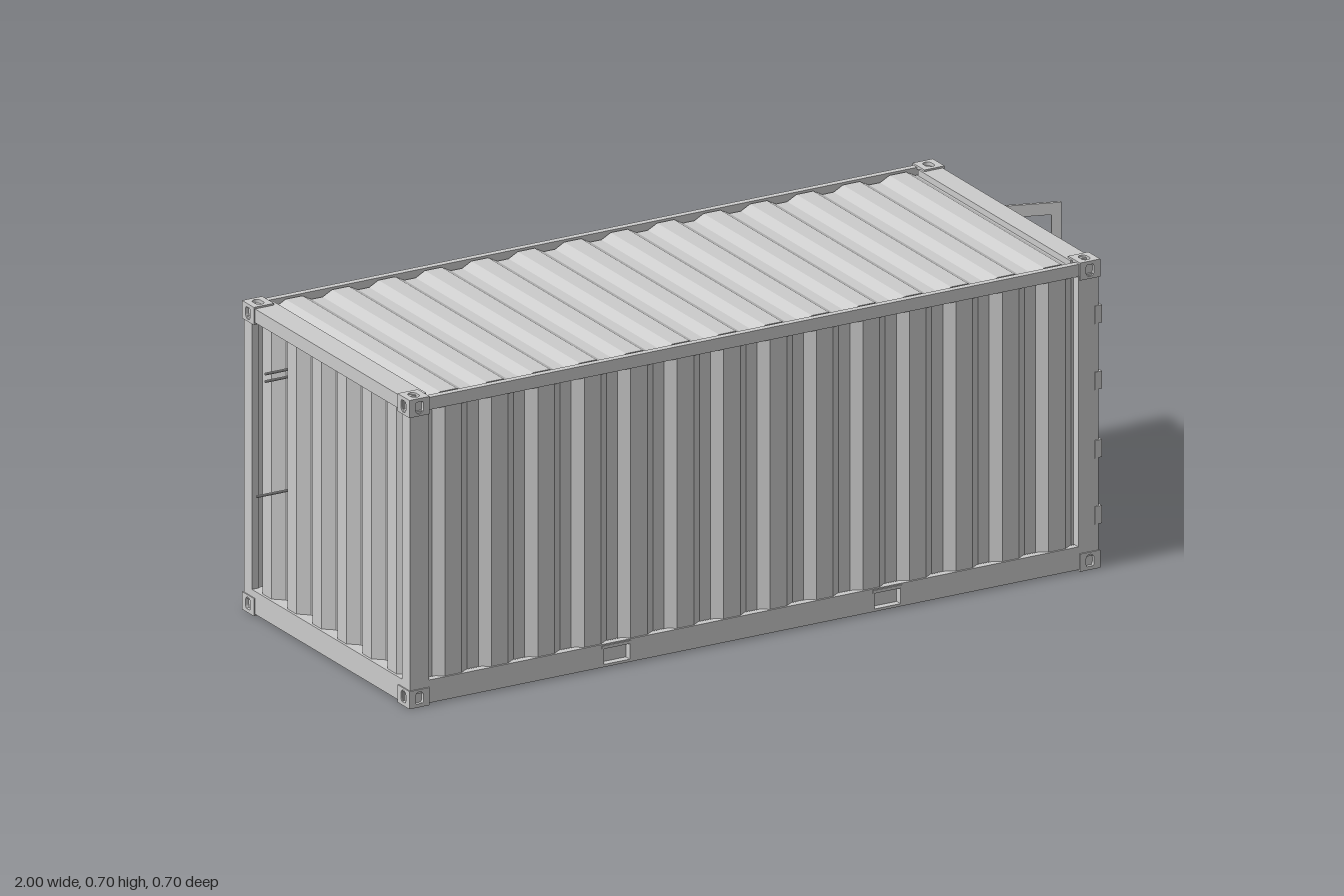
import * as THREE from 'three';

const mat = new THREE.MeshStandardMaterial({ color: 0xcccccc, flatShading: true, side: THREE.DoubleSide });
const CX = -0.09, LEN = 1.6;

export function createModel() {
  const root = new THREE.Group();

  const add = (name, geo, parent = root) => {
    const m = new THREE.Mesh(geo, mat);
    m.name = name;
    parent.add(m);
    return m;
  };
  // box from min and max corners
  const box = (name, x0, x1, y0, y1, z0, z1, parent) => {
    const m = add(name, new THREE.BoxGeometry(x1 - x0, y1 - y0, z1 - z0), parent);
    m.position.set((x0 + x1) / 2, (y0 + y1) / 2, (z0 + z1) / 2);
    return m;
  };
  // straight round rod between two points
  const rod = (name, a, b, r, parent) => {
    const p = new THREE.Vector3(...a), q = new THREE.Vector3(...b);
    const d = q.clone().sub(p);
    const m = add(name, new THREE.CylinderGeometry(r, r, d.length(), 10), parent);
    m.position.copy(p).add(q).multiplyScalar(0.5);
    m.quaternion.setFromUnitVectors(new THREE.Vector3(0, 1, 0), d.normalize());
    return m;
  };
  const poly = pts => new THREE.Shape(pts.map(p => new THREE.Vector2(...p)));
  const rect = (x0, x1, y0, y1) => poly([[x0, y0], [x1, y0], [x1, y1], [x0, y1]]);
  const plate = (shape, holes, depth) => {
    shape.holes.push(...holes);
    return new THREE.ExtrudeGeometry(shape, { depth, bevelEnabled: false, curveSegments: 8 });
  };

  // corrugated panel: waves along x, height along y, outside facing +z, flat lining behind
  const corrugated = (name, len, h, n, depth, thick, outer = 0.36, slope = 0.2) => {
    const p = len / n, pts = [];
    for (let i = 0; i < n; i++) {
      const x = -len / 2 + i * p, half = p * (1 - outer - 2 * slope) / 2;
      pts.push([x, depth], [x + half, depth], [x + half + slope * p, 0],
        [x + half + (slope + outer) * p, 0], [x + p - half, depth]);
    }
    pts.push([len / 2, depth], [len / 2, thick], [-len / 2, thick]);
    return add(name, plate(poly(pts), [], h).rotateX(-Math.PI / 2));
  };

  // corrugated walls, roof and underfloor
  corrugated('frontSideWall', LEN, 0.62, 14, 0.016, 0.032).position.set(CX, 0.053, 0.345);
  const back = corrugated('backSideWall', LEN, 0.62, 14, 0.016, 0.032);
  back.position.set(CX, 0.053, -0.345);
  back.rotation.y = Math.PI;
  const end = corrugated('endWall', 0.63, 0.62, 6, 0.024, 0.045);
  end.position.set(-0.936, 0.053, 0);
  end.rotation.y = -Math.PI / 2;
  const roof = corrugated('roof', LEN, 0.65, 14, 0.012, 0.025);
  roof.position.set(CX, 0.694, 0.325);
  roof.rotation.x = -Math.PI / 2;
  const floor = corrugated('floorJoists', LEN + 0.02, 0.66, 14, 0.035, 0.045, 0.36, 0.08);
  floor.position.set(CX, 0.01, -0.33);
  floor.rotation.x = Math.PI / 2;

  // frame rails along both sides, bottom ones with fork pockets
  for (const s of [-1, 1]) {
    const z0 = s > 0 ? 0.333 : -0.348;
    box('topSideRail', -0.9, 0.715, 0.668, 0.696, z0, z0 + 0.015);
    const slots = [-0.433, 0.233].map(x => rect(x - 0.032, x + 0.032, 0.01, 0.045));
    add('bottomSideRail', plate(rect(-0.9, 0.715, 0.004, 0.056), slots, 0.016)).position.z = z0;
    for (const x of [-0.433, 0.233]) {
      const zp = s > 0 ? 0.325 : -0.331;
      box('forkPocketBack', x - 0.037, x + 0.037, 0.004, 0.05, zp, zp + 0.006);
      box('forkPocketRim', x - 0.037, x + 0.037, 0.046, 0.053, z0 - 0.001, z0 + 0.018);
    }
  }

  // rails across both ends
  box('endTopRail', -0.942, -0.885, 0.665, 0.696, -0.32, 0.32);
  box('endBottomRail', -0.942, -0.885, 0.004, 0.056, -0.32, 0.32);
  box('entranceTopRail', 0.7, 0.75, 0.65, 0.696, -0.32, 0.32);
  const pockets = [-0.2325, 0.2325].map(u => rect(u - 0.034, u + 0.034, 0.005, 0.037));
  add('entranceBottomRail', plate(rect(-0.32, 0.32, 0.002, 0.056), pockets, 0.03).rotateY(Math.PI / 2)).position.x = 0.72;
  for (const z of [-0.2325, 0.2325]) {
    box('endPocketBack', 0.725, 0.732, 0.01, 0.033, z - 0.034, z + 0.034);
    for (const y of [0.004, 0.034]) box('endPocketLip', 0.725, 0.754, y, y + 0.004, z - 0.035, z + 0.035);
  }

  // corner posts and slotted corner castings
  const slotted = (w, h) => {
    const slot = new THREE.Path();
    slot.absarc(0, 0.005, 0.01, 0, Math.PI);
    slot.absarc(0, -0.005, 0.01, Math.PI, Math.PI * 2);
    return plate(rect(-w / 2, w / 2, -h / 2, h / 2), [slot], 0.008).translate(0, 0, -0.008);
  };
  for (const sx of [-1, 1]) for (const sz of [-1, 1]) {
    const xo = sx > 0 ? 0.755 : -0.945, xi = xo - sx * 0.05;
    const xs = [xo - sx * 0.003, xi].sort((a, b) => a - b);
    const side = [sz * 0.349, sz * 0.334].sort((a, b) => a - b);
    box('cornerPost', xs[0], xs[1], 0.03, 0.67, side[0], side[1]);
    const inner = [sz * 0.349, sz * 0.315].sort((a, b) => a - b);
    const px = sx > 0 ? [0.703, 0.715] : [-0.942, -0.925];
    box('cornerPostReturn', px[0], px[1], 0.03, 0.67, inner[0], inner[1]);
    for (const top of [false, true]) {
      const g = new THREE.Group();
      g.name = 'cornerCasting';
      g.position.set(xo - sx * 0.025, top ? 0.68 : 0.02, sz * 0.327);
      box('castingCore', -0.017, 0.017, -0.012, 0.012, -0.017, 0.017, g);
      const fx = add('castingEndFace', slotted(0.05, 0.04), g);
      fx.rotation.y = sx * Math.PI / 2;
      fx.position.x = sx * 0.025;
      const fz = add('castingSideFace', slotted(0.05, 0.04), g);
      fz.rotation.y = sz > 0 ? 0 : Math.PI;
      fz.position.z = sz * 0.025;
      const fy = add('castingFlatFace', slotted(0.05, 0.05), g);
      fy.rotation.x = top ? -Math.PI / 2 : Math.PI / 2;
      fy.position.y = top ? 0.02 : -0.02;
      root.add(g);
    }
    // hinge lugs on the entrance posts
    if (sx > 0) for (const y of [0.12, 0.27, 0.425, 0.575])
      box('hingeLug', 0.742, 0.76, y - 0.02, y + 0.02, sz * 0.344 - 0.007, sz * 0.344 + 0.007);
  }

  // entrance wall with window and doorway
  const wall = poly([[-0.337, 0.05], [0.04, 0.05], [0.04, 0.605], [0.295, 0.605], [0.295, 0.05],
    [0.337, 0.05], [0.337, 0.655], [-0.337, 0.655]]);
  const wallGeo = plate(wall, [rect(-0.29, -0.048, 0.32, 0.608)], 0.022);
  add('entranceWall', wallGeo.rotateY(Math.PI / 2)).position.x = 0.72;

  // open glazed door frame with pull handle
  const door = new THREE.Group();
  door.name = 'door';
  door.position.set(0.75, 0, -0.293);
  door.rotation.y = -0.325;
  add('doorFrame', plate(rect(0, 0.252, 0.055, 0.605), [rect(0.026, 0.23, 0.145, 0.578)], 0.007), door);
  for (const y of [0.303, 0.373]) rod('handleStub', [0.244, y, 0], [0.244, y, -0.037], 0.005, door);
  rod('handleGrip', [0.244, 0.298, -0.034], [0.244, 0.38, -0.034], 0.006, door);
  root.add(door);

  // wall-mounted air conditioner with rounded lower front
  const ac = new THREE.Shape();
  ac.moveTo(0, 0.538);
  ac.lineTo(0.03, 0.538);
  ac.quadraticCurveTo(0.06, 0.543, 0.06, 0.585);
  ac.lineTo(0.06, 0.63);
  ac.lineTo(0, 0.63);
  add('airConditioner', plate(ac, [], 0.282)).position.set(-0.891, 0, -0.145);

  // pipes, junction box and cable on the end wall
  for (const y of [0.59, 0.573]) {
    rod('coolantPipe', [-0.885, y, -0.14], [-0.885, y, -0.195], 0.003);
    rod('coolantPipeOutlet', [-0.885, y, -0.195], [-0.98, y, -0.195], 0.003);
  }
  rod('conduitTop', [-0.885, 0.555, -0.14], [-0.885, 0.555, -0.193], 0.003);
  rod('conduitDrop', [-0.885, 0.555, -0.193], [-0.885, 0.335, -0.193], 0.003);
  box('junctionBox', -0.892, -0.872, 0.295, 0.337, -0.206, -0.172);
  rod('wallCable', [-0.885, 0.315, 0.285], [-0.885, 0.315, -0.283], 0.003);
  for (const z of [0.285, -0.283]) rod('cableEnd', [-0.885, 0.305, z], [-0.885, 0.333, z], 0.004);
  rod('powerInlet', [-0.88, 0.315, -0.197], [-1, 0.315, -0.197], 0.003);

  return root;
}
